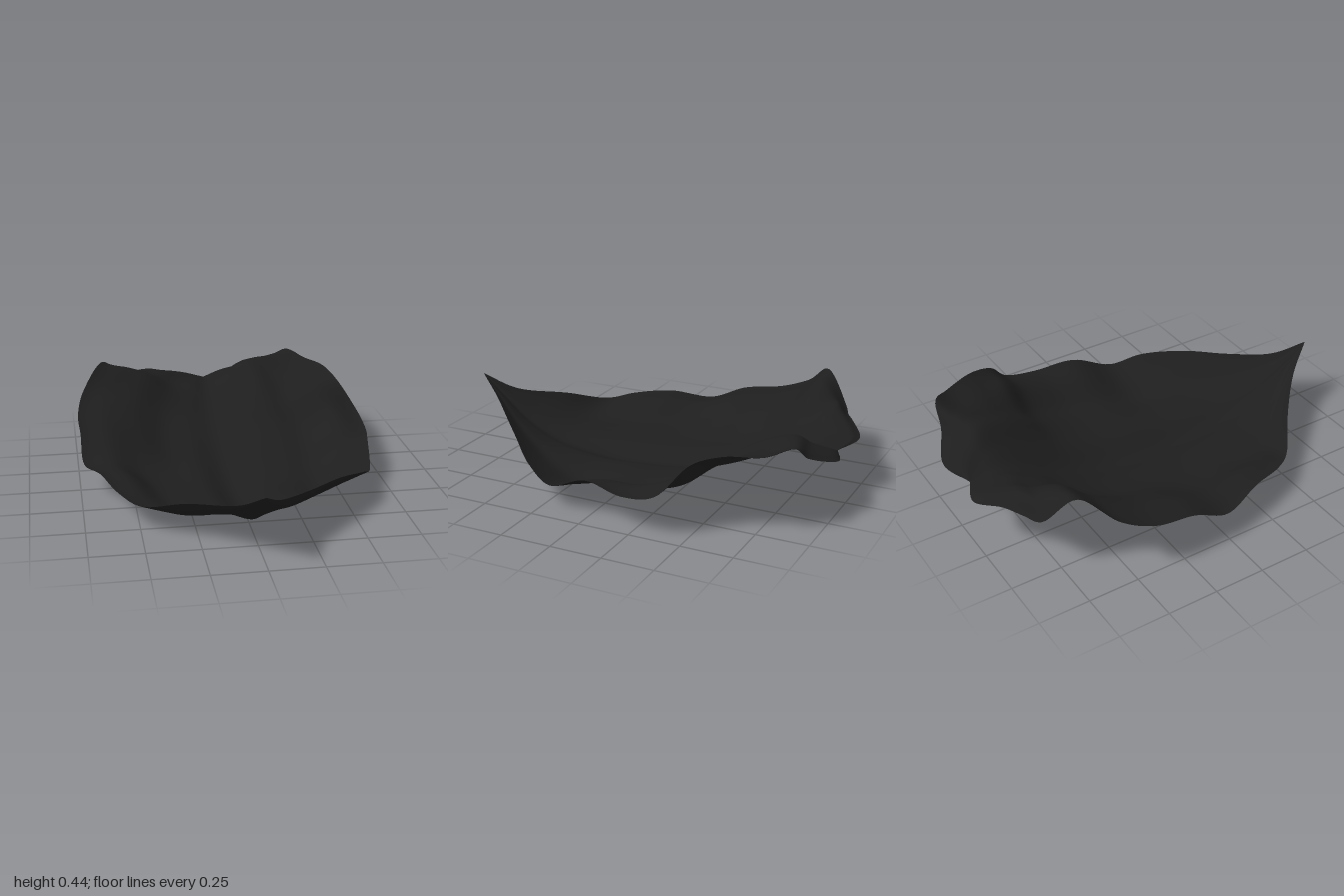
import * as THREE from 'three';

// Matching stations from the pointed tip to the back notch: x, y, z
const rightEdge = [
  [-0.015, 0.34, 1], [0.08, 0.265, 0.86], [0.24, 0.23, 0.7], [0.42, 0.21, 0.53],
  [0.58, 0.16, 0.36], [0.65, 0.11, 0.21], [0.69, 0.19, 0], [0.735, 0.17, -0.21],
  [0.735, 0.2, -0.37], [0.65, 0.34, -0.5], [0.6, 0.385, -0.63], [0.53, 0.385, -0.79],
  [0.44, 0.41, -0.89], [0.33, 0.33, -0.92], [0.145, 0.265, -1], [-0.015, 0.25, -0.945],
];
const leftEdge = [
  [-0.015, 0.34, 1], [-0.11, 0.25, 0.86], [-0.31, 0.19, 0.67], [-0.5, 0.125, 0.52],
  [-0.59, 0.145, 0.4], [-0.66, 0.165, 0.21], [-0.73, 0.14, 0], [-0.735, 0.22, -0.19],
  [-0.738, 0.26, -0.4], [-0.7, 0.33, -0.56], [-0.59, 0.44, -0.7], [-0.49, 0.3, -0.83],
  [-0.4, 0.29, -0.87], [-0.31, 0.295, -0.92], [-0.17, 0.265, -1], [-0.015, 0.25, -0.945],
];
const midrib = [
  [0.34, 1], [0.23, 0.87], [0.12, 0.72], [0.045, 0.54], [0.015, 0.36], [0.002, 0.2],
  [0.01, 0], [0.03, -0.2], [0.07, -0.36], [0.125, -0.5], [0.18, -0.61], [0.225, -0.7],
  [0.25, -0.77], [0.26, -0.83], [0.255, -0.88], [0.25, -0.945],
].map(([y, z]) => [-0.015, y, z]);

// Heights of the lengthwise folds: position along the petal, then left to right
const folds = [
  [0, [0, 0, 0, 0, 0, 0, 0, 0, 0]],
  [0.2, [0, 0, 0.02, 0.025, 0, 0.02, 0.02, 0, 0]],
  [0.33, [0.045, 0.015, 0.03, 0.04, 0, 0.04, 0.03, -0.01, -0.005]],
  [0.55, [0.06, 0.07, 0.025, 0.025, 0, 0.05, 0.06, 0.025, 0.07]],
  [0.65, [0.05, 0.075, 0.035, 0.02, 0, 0.055, 0.095, 0.04, 0.025]],
  [0.75, [0.08, 0.08, 0.045, 0.025, 0, 0.05, 0.11, 0.08, 0.03]],
  [0.87, [0.03, 0.03, 0.02, 0.01, 0, 0.02, 0.05, 0.05, 0.03]],
  [1, [0, 0, 0, 0, 0, 0, 0, 0, 0]],
];

const { lerp } = THREE.MathUtils;
const curve = (points) => new THREE.CatmullRomCurve3(points.map((p) => new THREE.Vector3(...p)));
const foldRows = new THREE.CubicInterpolant(
  folds.map(([v]) => v), folds.flatMap(([, heights]) => heights), 9);

// Smooth curve of the fold heights across the petal at one position
function foldSection(v) {
  const heights = [0, ...foldRows.evaluate(v), 0];
  return new THREE.SplineCurve(heights.map((h, i) => new THREE.Vector2(i, h)));
}

// Sheet lofted from the left edge over the midrib to the right edge
function petalGeometry(rows, columns) {
  const left = curve(leftEdge), right = curve(rightEdge), middle = curve(midrib);
  const positions = [], indices = [];
  for (let i = 0; i <= rows; i++) {
    const v = i / rows;
    const m = middle.getPoint(v), l = left.getPoint(v), r = right.getPoint(v);
    const section = foldSection(v);
    for (let j = 0; j <= columns; j++) {
      const u = (2 * j) / columns - 1;
      const s = Math.abs(u);
      const edge = u < 0 ? l : r;
      positions.push(
        lerp(m.x, edge.x, s),
        lerp(m.y, edge.y, s * s) + section.getPoint(j / columns).y,
        lerp(m.z, edge.z, s),
      );
      if (i < rows && j < columns) {
        const a = i * (columns + 1) + j, d = a + columns + 1;
        if (i > 0) indices.push(a, a + 1, d);
        if (i < rows - 1) indices.push(a + 1, d + 1, d);
      }
    }
  }
  const geometry = new THREE.BufferGeometry();
  geometry.setAttribute('position', new THREE.Float32BufferAttribute(positions, 3));
  geometry.setIndex(indices);
  geometry.computeVertexNormals();
  return geometry;
}

export function createModel() {
  const group = new THREE.Group();
  group.name = 'petalModel';
  const charcoal = new THREE.MeshStandardMaterial({ color: 0x1e1e1e, side: THREE.DoubleSide });
  charcoal.name = 'charcoal';
  const petal = new THREE.Mesh(petalGeometry(120, 80), charcoal);
  petal.name = 'petal';
  group.add(petal);
  return group;
}
